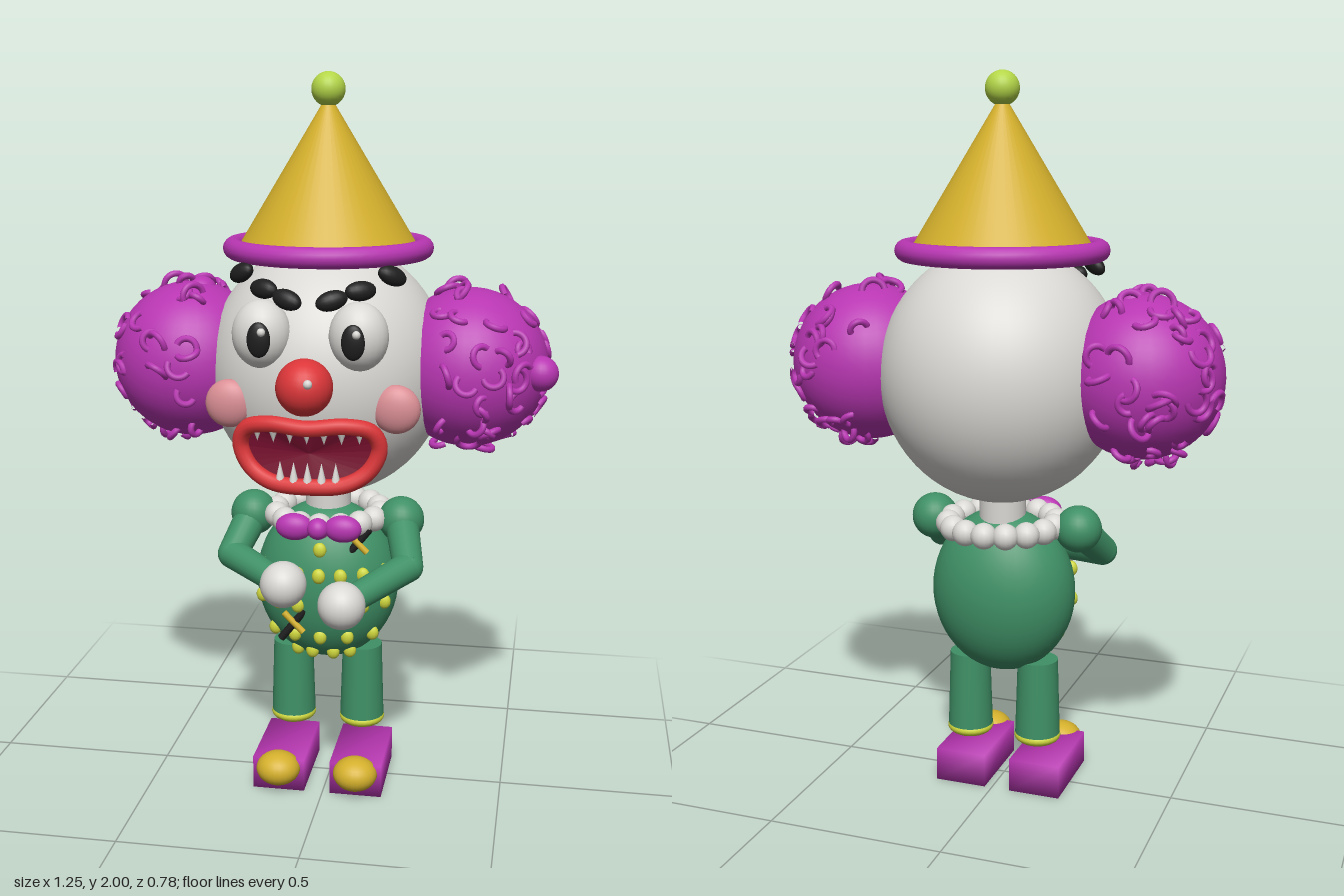
import * as THREE from 'three';
import { mergeVertices } from 'three/addons/utils/BufferGeometryUtils.js';

const mat = (name, color, side = THREE.FrontSide) => {
  const m = new THREE.MeshStandardMaterial({ color, side });
  m.name = name;
  return m;
};
const V = (x, y, z) => new THREE.Vector3(x, y, z);

export function createModel() {
  const purple = mat('purple', 0xb836b2), gold = mat('gold', 0xd4b02c);
  const lime = mat('lime', 0xb4d648), yellow = mat('buttonYellow', 0xcdd53c);
  const green = mat('green', 0x3f9066), white = mat('white', 0xdad8d4);
  const red = mat('red', 0xdc3639), pink = mat('pink', 0xd98e94);
  const black = mat('black', 0x1e1e1e), maroon = mat('maroon', 0x78102f, THREE.DoubleSide);

  const model = new THREE.Group();
  const body = new THREE.Group();
  body.name = 'clown';
  body.position.set(-0.016, 0, 0);
  model.add(body);

  const add = (name, geo, material, pos = [0, 0, 0], parent = body) => {
    const m = new THREE.Mesh(geo, material);
    m.name = name;
    m.position.set(...pos);
    parent.add(m);
    return m;
  };
  const ball = (name, material, pos, rx, ry = rx, rz = rx, seg = 24) => {
    const m = add(name, new THREE.SphereGeometry(1, seg, Math.ceil(seg * 0.7)), material, pos);
    m.scale.set(rx, ry, rz);
    return m;
  };
  // Cylinder between two points
  const rod = (name, material, a, b, r0, r1 = r0) => {
    const d = b.clone().sub(a);
    const m = add(name, new THREE.CylinderGeometry(r1, r0, d.length(), 20), material);
    m.position.copy(a).addScaledVector(d, 0.5);
    m.quaternion.setFromUnitVectors(V(0, 1, 0), d.normalize());
    return m;
  };
  const Z = -0.06;

  // Head and neck
  ball('head', white, [0, 1.2, Z], 0.335, 0.352, 0.335, 48);
  add('neck', new THREE.CylinderGeometry(0.065, 0.065, 0.16, 24), white, [0, 0.83, Z]);

  // Hat
  add('hatCone', new THREE.ConeGeometry(0.245, 0.405, 48), gold, [0, 1.742, Z]);
  add('hatBrim', new THREE.TorusGeometry(0.26, 0.028, 16, 56), purple, [0, 1.535, Z]).rotation.x = Math.PI / 2;
  ball('hatPompom', lime, [0, 1.954, Z], 0.046);

  // Nose
  ball('nose', red, [0, 1.22, 0.308], 0.074);
  ball('noseGlint', white, [0.021, 1.242, 0.375], 0.012, 0.012, 0.012, 10);

  // Eyes, eyebrows and cheeks
  for (const s of [-1, 1]) {
    ball('eye', white, [s * 0.127, 1.34, 0.225], 0.078, 0.09, 0.07);
    ball('pupil', black, [s * 0.122, 1.335, 0.288], 0.031, 0.046, 0.015);
    ball('pupilGlint', white, [s * 0.122 + 0.01, 1.357, 0.302], 0.011, 0.011, 0.011, 10);
    ball('cheek', pink, [s * 0.222, 1.147, 0.2], 0.065, 0.065, 0.035);
    [[0.058, 1.432, 0.235, 0.3], [0.127, 1.453, 0.195, 0.05], [0.2, 1.485, 0.13, 0.4]].forEach(([x, y, z, tilt]) => {
      const brow = ball('eyebrow', black, [s * x, y, z], 0.043, 0.026, 0.022, 16);
      brow.rotation.set(-0.4, s * x * 4, s * (x > 0.15 ? -tilt : tilt), 'YXZ');
    });
  }

  // Mouth: bowed lip ring, dark inside and teeth
  const bow = (x, y) => V(x, y, 0.272 - 1.1 * x * x + 0.1 * (y - 1.03));
  const half = [[0.1, 1.112], [0.165, 1.095], [0.185, 1.05], [0.16, 0.99], [0.1, 0.952]];
  const lipPoints = [bow(0, 1.105), ...half.map(([x, y]) => bow(x, y)), bow(0, 0.944),
    ...half.slice().reverse().map(([x, y]) => bow(-x, y))];
  const lipCurve = new THREE.CatmullRomCurve3(lipPoints, true);
  add('lips', new THREE.TubeGeometry(lipCurve, 72, 0.022, 12, true), red);
  const rim = lipCurve.getSpacedPoints(40);
  const verts = [];
  for (let i = 0; i < 40; i++) {
    for (const p of [V(0, 1.03, 0.25), rim[i + 1], rim[i]]) verts.push(p.x, p.y, p.z - 0.006);
  }
  const inside = new THREE.BufferGeometry();
  inside.setAttribute('position', new THREE.Float32BufferAttribute(verts, 3));
  inside.computeVertexNormals();
  add('mouthInside', inside, maroon);
  const tooth = (x, y, h, down) => {
    const p = bow(x, y);
    add('tooth', new THREE.ConeGeometry(0.013, h, 10), white, [p.x, p.y, p.z]).rotation.z = down ? Math.PI : 0;
  };
  for (let i = -3; i <= 3; i++) tooth(i * 0.045, 1.08, 0.035, true);
  for (let i = -2; i <= 2; i++) tooth(i * 0.037, 0.985, 0.055, false);

  // Hair puffs covered in curls
  let seed = 7;
  const rnd = () => (seed = (seed * 16807) % 2147483647) / 2147483647;
  for (const s of [-1, 1]) {
    const c = V(s * 0.39, 1.215, Z), R = 0.218;
    ball('hairPuff', purple, c.toArray(), R, R, R, 36);
    for (let i = 0; i < 60; i++) {
      const out = -0.35 + 1.3 * rnd(), a = rnd() * Math.PI * 2, k = Math.sqrt(1 - out * out);
      const n = V(s * out, k * Math.cos(a), k * Math.sin(a));
      const curl = add('curl', new THREE.TorusGeometry(0.02 + 0.012 * rnd(), 0.009, 8, 14, Math.PI * (0.9 + 0.4 * rnd())), purple);
      curl.position.copy(c).addScaledVector(n, R);
      curl.quaternion.setFromUnitVectors(V(0, 1, 0), n);
      curl.rotateY(rnd() * Math.PI * 2);
      curl.rotateX(out > 0.6 ? 1.45 : 0.3 + 1.1 * rnd());
    }
  }
  ball('hairNub', purple, [0.588, 1.22, 0.03], 0.048);
  ball('hairNub', purple, [-0.364, 1.4, -0.075], 0.046);

  // Torso
  ball('torso', green, [0, 0.585, -0.05], 0.205, 0.235, 0.16, 40);

  // Buttons laid on the front of the torso
  const onTorso = (x, y) => {
    const q = 1 - (x / 0.205) ** 2 - ((y - 0.585) / 0.235) ** 2;
    return [x, y, -0.05 + 0.16 * Math.sqrt(Math.max(0, q))];
  };
  const button = (x, y) => ball('button', yellow, onTorso(x, y), 0.019, 0.022, 0.014, 12);
  for (const [y, xs] of [[0.64, [0.06, 0.12, 0.175]], [0.55, [0.06, 0.12, 0.175]],
    [0.45, [0.075, 0.14]], [0.39, [0.03, 0.075]]]) {
    for (const x of xs) { button(x, y); button(-x, y); }
  }
  for (const y of [0.71, 0.64, 0.45]) button(0, y);

  // Crossed trim sticks on the torso
  for (const [x, y] of [[-0.075, 0.49], [0.1, 0.725]]) {
    const z = onTorso(x, y)[2] + 0.008;
    rod('blackTrim', black, V(x - 0.035, y - 0.045, z), V(x + 0.035, y + 0.045, z), 0.011);
    rod('goldTrim', gold, V(x - 0.025, y + 0.035, z + 0.008), V(x + 0.03, y - 0.02, z + 0.008), 0.009);
  }

  // Ruff and bow tie
  for (let i = 0; i < 16; i++) {
    const a = (i / 16) * Math.PI * 2;
    ball('ruffBead', white, [Math.sin(a) * 0.15, 0.782, Z + Math.cos(a) * 0.15], 0.036, 0.036, 0.036, 16);
  }
  for (const s of [-1, 1]) ball('bowLobe', purple, [s * 0.068, 0.782, 0.105], 0.052, 0.038, 0.032);
  ball('bowKnot', purple, [0, 0.782, 0.115], 0.03);

  // Arms and hands
  for (const [s, hand, elbowZ] of [[-1, V(-0.08, 0.648, 0.205), 0.08], [1, V(0.096, 0.635, 0.302), 0.11]]) {
    const shoulder = V(s * 0.213, 0.775, -0.035), elbow = V(s * 0.25, 0.685, elbowZ);
    ball('shoulder', green, shoulder.toArray(), 0.065);
    rod('upperArm', green, shoulder, elbow, 0.048, 0.042);
    ball('elbow', green, elbow.toArray(), 0.042);
    rod('forearm', green, elbow, hand, 0.042, 0.036);
    ball('hand', white, hand.toArray(), 0.064);
  }

  // Legs, cuffs and shoes; the shoe boxes have softened corners in shading
  const shoe = new THREE.BoxGeometry(0.148, 0.095, 0.255);
  shoe.deleteAttribute('normal');
  shoe.deleteAttribute('uv');
  const softShoe = mergeVertices(shoe);
  softShoe.computeVertexNormals();
  for (const s of [-1, 1]) {
    add('leg', new THREE.CylinderGeometry(0.057, 0.064, 0.22, 28), green, [s * 0.102, 0.278, -0.05]);
    ball('cuff', yellow, [s * 0.102, 0.16, -0.05], 0.066, 0.028, 0.066);
    add('shoe', softShoe, purple, [s * 0.111, 0.0475, 0.016]);
    ball('shoeToe', gold, [s * 0.111, 0.068, 0.145], 0.063, 0.048, 0.058);
  }
  return model;
}
